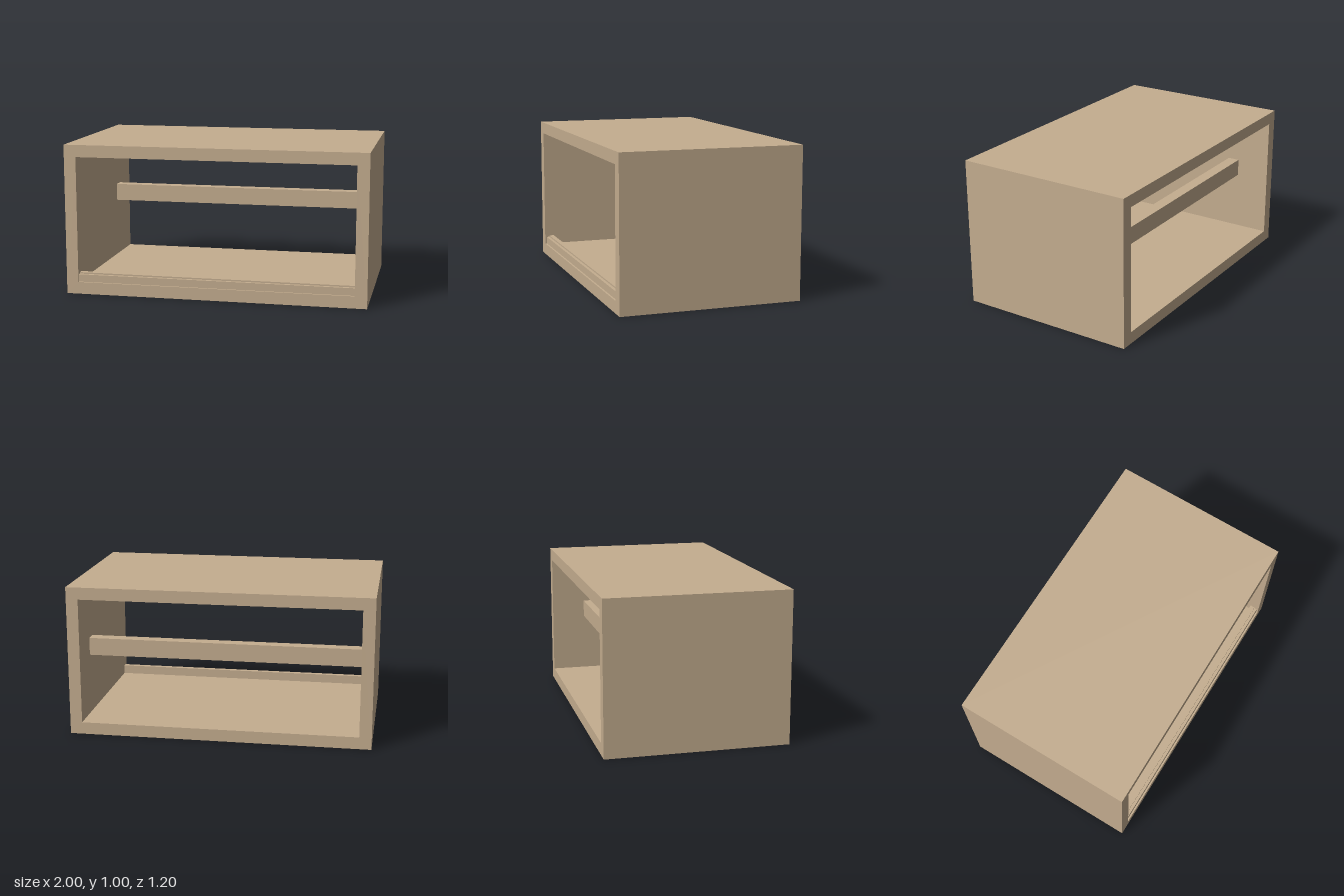
import * as THREE from 'three';

const W = 2, H = 1, D = 1.2, T = 0.08; // outer size and board thickness

export function createModel() {
  const model = new THREE.Group();
  const wood = new THREE.MeshStandardMaterial({ color: 0xc4ad8f });
  wood.name = 'light wood';

  const add = (name, geometry) => {
    const mesh = new THREE.Mesh(geometry, wood);
    mesh.name = name;
    model.add(mesh);
  };

  // Extrude an outline in the x-y plane, centred on z = 0
  const extrude = (shape, depth) =>
    new THREE.ExtrudeGeometry(shape, { depth, bevelEnabled: false }).translate(0, 0, -depth / 2);

  const rectangle = (path, x, y0, y1) =>
    path.moveTo(-x, y0).lineTo(x, y0).lineTo(x, y1).lineTo(-x, y1).closePath();

  // Open cabinet shell: top, floor and two sides
  const outline = rectangle(new THREE.Shape(), W / 2, 0, H);
  outline.holes.push(rectangle(new THREE.Path(), W / 2 - T, T, H - T));
  add('cabinetShell', extrude(outline, D));

  // Rear crossbar between the sides
  const inner = W - 2 * T;
  add('rearCrossbar', new THREE.BoxGeometry(inner, 0.118, 0.08).translate(0, 0.541, -0.325));

  // Stepped front lip, drawn as (z, y) and swept across the opening
  const lip = new THREE.Shape([
    [0.535, T], [0.588, T], [0.588, 0.13], [0.568, 0.13], [0.568, 0.14], [0.535, 0.14],
  ].map(([z, y]) => new THREE.Vector2(-z, y)));
  add('frontLip', extrude(lip, inner).rotateY(Math.PI / 2).scale(1, 1, 1));

  return model;
}
